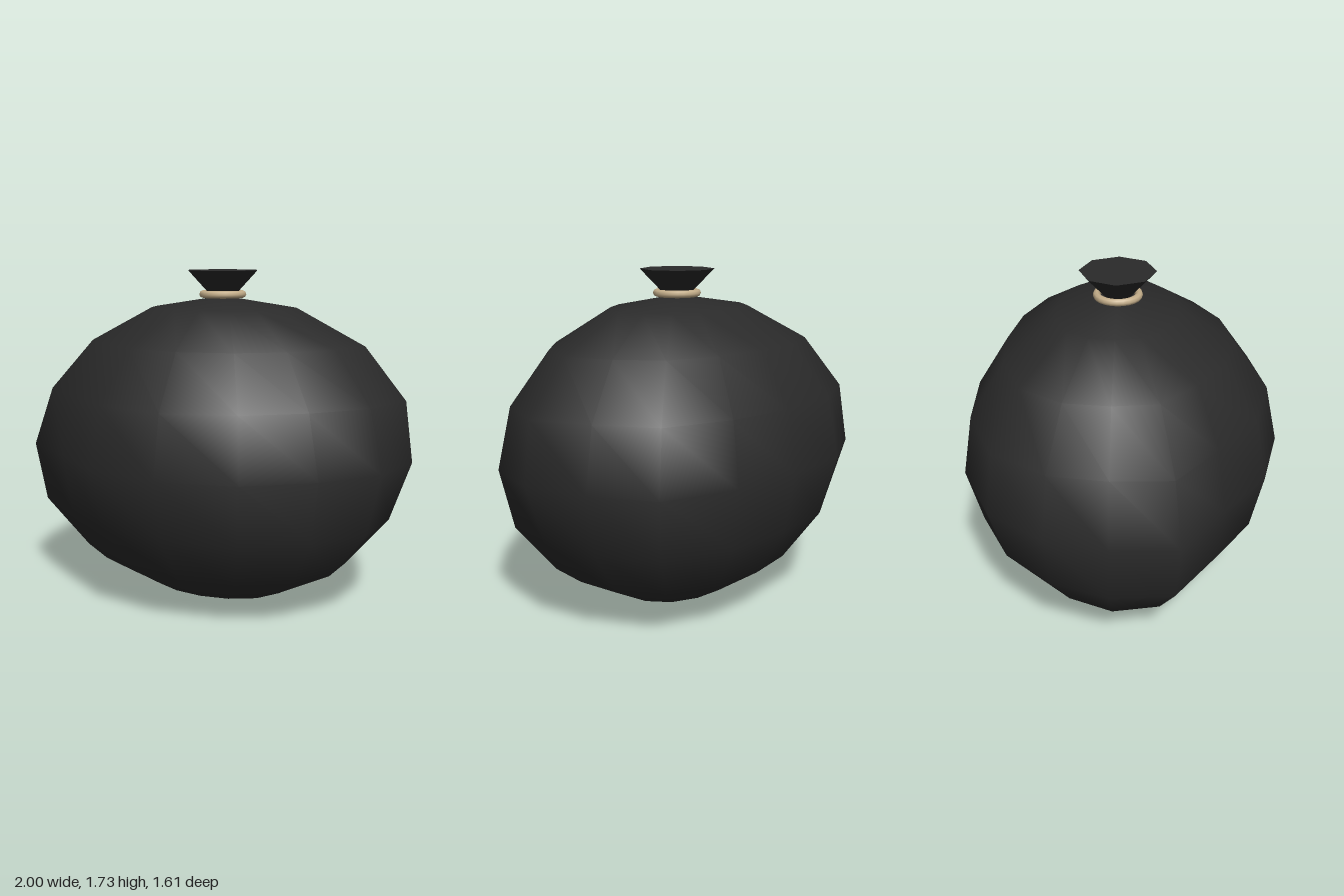
import * as THREE from 'three';

// Centre of the sack, slightly off the origin
const CX = -0.015, CZ = -0.033;
// Uneven bulge of the sack around its waist, one value per 22.5 degrees from +x towards +z
const BULGE = [0.975, 0.975, 0.97, 1.02, 1.04, 1.0, 0.92, 1.015, 0.945, 0.96, 1.01, 1.01, 0.968, 0.99, 1.04, 0.955];
// How much each column swells above the waist and shrinks below it
const LEAN = [0.05, 0, -0.035, -0.02, 0, 0, -0.02, -0.04, -0.05, 0, 0.04, 0.02, 0, -0.02, -0.02, 0];

function sackGeometry() {
  const rows = 8, cols = 16;
  const pos = [], index = [];
  for (let r = 0; r <= rows; r++) {
    const t = (r / rows) * Math.PI;
    const ring = Math.sin(t), up = Math.cos(t);
    for (let c = 0; c < cols; c++) {
      const a = (c / cols) * Math.PI * 2;
      // waist bulge fades towards the poles
      const f = 1 + (BULGE[c] - 1) * ring * ring + LEAN[c] * Math.sin(up * 2) + 0.04 * Math.cos(a) ** 2;
      pos.push(CX + Math.cos(a) * ring * f, 0.8 + 0.8 * up, CZ + Math.sin(a) * ring * f * 0.8);
    }
  }
  for (let r = 0; r < rows; r++) {
    for (let c = 0; c < cols; c++) {
      const a = r * cols + c, b = r * cols + (c + 1) % cols;
      const d = a + cols, e = b + cols;
      if (r > 0) index.push(a, b, d);
      if (r < rows - 1) index.push(b, e, d);
    }
  }
  const g = new THREE.BufferGeometry();
  g.setAttribute('position', new THREE.Float32BufferAttribute(pos, 3));
  g.setIndex(index);
  g.computeVertexNormals();
  // the pole rings collapse to a point, so their normals are simply up and down
  const n = g.attributes.normal;
  for (let c = 0; c < cols; c++) {
    n.setXYZ(c, 0, 1, 0);
    n.setXYZ(rows * cols + c, 0, -1, 0);
  }
  return g;
}

export function createModel() {
  const group = new THREE.Group();
  const black = new THREE.MeshStandardMaterial({ color: 0x2a2a2a });
  black.name = 'black plastic';
  const tan = new THREE.MeshStandardMaterial({ color: 0xc4ae8a });
  tan.name = 'tan cord';

  const add = (name, geometry, material, x, y, z) => {
    const mesh = new THREE.Mesh(geometry, material);
    mesh.name = name;
    mesh.position.set(x, y, z);
    group.add(mesh);
  };

  // Stuffed body
  add('sack', sackGeometry(), black, 0, 0, 0);
  // Gathered neck, flaring out above the cord
  add('neck', new THREE.CylinderGeometry(0.19, 0.055, 0.14, 8), black, CX, 1.66, CZ);
  // Cord tied round the neck
  add('cord', new THREE.TorusGeometry(0.104, 0.019, 8, 24).rotateX(Math.PI / 2), tan, CX, 1.608, CZ);
  return group;
}
